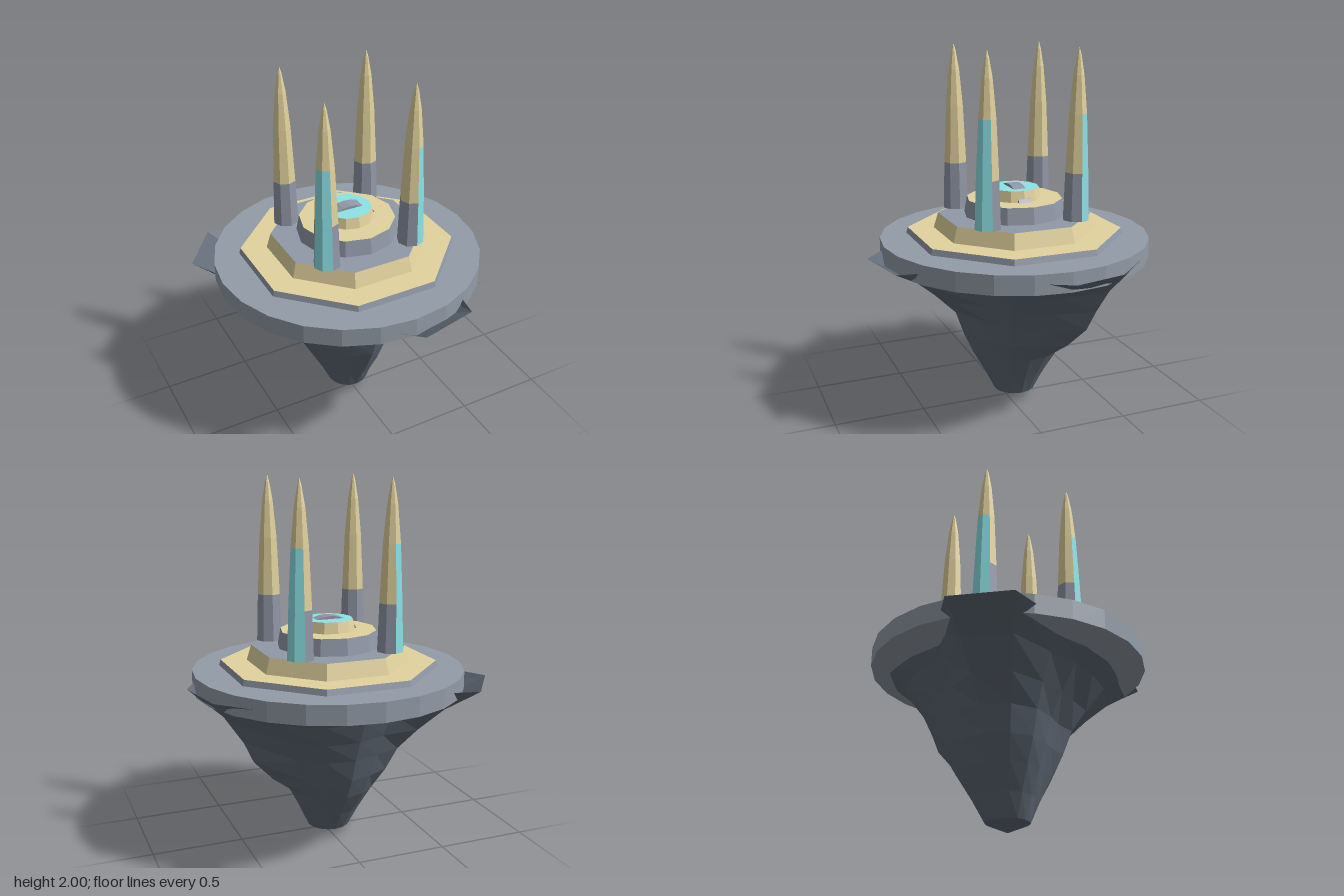
import * as THREE from 'three';

const paint = (name, color) => Object.assign(
  new THREE.MeshStandardMaterial({ color, flatShading: true }), { name });

export function createModel() {
  const model = new THREE.Group();
  model.name = 'floatingPlatform';
  const rock = paint('dark rock', 0x5f6975);
  rock.side = THREE.DoubleSide;
  const stone = paint('deck grey', 0x939ca7);
  const slate = paint('slate grey', 0x9198a7);
  const sand = paint('sand', 0xe3d39e);
  const cyan = paint('cyan glow', 0x8de4e8);
  const CZ = -0.05; // centre line of the platform

  const add = (name, geometry, material, parent = model) => {
    const mesh = new THREE.Mesh(geometry, material);
    mesh.name = name;
    parent.add(mesh);
    return mesh;
  };

  // Rocky underside: an open shell of 16 columns flaring out into three ledges
  const topR = [.79, .70, .54, .83, .835, .66, .62, .6, .62, .865, .855, .55, .6, .7, .735, .79];
  const midR = [.43, .37, .32, .31, .35, .34, .28, .30, .35, .39, .41, .37, .39, .40, .39, .54];
  const lowR = [.24, .23, .21, .23, .25, .23, .20, .22, .24, .26, .26, .27, .28, .27, .25, .25];
  // height, then blend from foot to low, low to mid, mid to top radius
  const rings = [[.05, 0, 0, 0], [.17, .45, 0, 0], [.3, 1, 0, 0], [.42, 1, .55, 0],
    [.55, 1, 1, 0], [.67, 1, 1, .25], [.8, 1, 1, .57], [.92, 1, 1, 1]];
  const profile = [new THREE.Vector2(0, 0), ...rings.map(([y]) => new THREE.Vector2(1, y))];
  const rockGeo = new THREE.LatheGeometry(profile, 16);
  const pos = rockGeo.attributes.position;
  const { lerp } = THREE.MathUtils;
  for (let k = 0; k < pos.count; k++) {
    const ring = rings[k % profile.length - 1];
    if (!ring) continue;
    const c = (20 - Math.floor(k / profile.length)) % 16;
    const r = lerp(lerp(lerp(.118, lowR[c], ring[1]), midR[c], ring[2]), topR[c], ring[3]);
    pos.setX(k, pos.getX(k) * r);
    pos.setZ(k, pos.getZ(k) * r);
  }
  add('rockUnderside', rockGeo, rock).position.z = CZ;

  // Stacked tiers, each with its own side and top colour
  const tier = (name, y0, y1, r0, r1, sides, turn, side, top) => {
    const g = new THREE.CylinderGeometry(r1, r0, y1 - y0, sides);
    g.rotateY(turn);
    add(name, g, [side, top, side]).position.set(0, (y0 + y1) / 2, CZ);
  };
  const oct = Math.PI / 8, apothem = Math.cos(oct);
  tier('mainDeck', .868, .973, .742, .742, 24, 0, stone, stone);
  tier('lowerStep', .973, 1.005, .555 / apothem, .547 / apothem, 8, oct, slate, sand);
  tier('middleStep', 1.005, 1.09, .413 / apothem, .39 / apothem, 8, oct, sand, slate);
  tier('upperStep', 1.09, 1.18, .28, .264, 12, 0, slate, sand);
  tier('hub', 1.18, 1.24, .147, .135, 12, 0, sand, cyan);

  // Upright wheel mostly sunk into the hub
  const wheel = new THREE.CylinderGeometry(.2, .2, .07, 32);
  wheel.rotateX(Math.PI / 2);
  add('hubWheel', wheel, slate).position.set(0, 1.056, CZ);

  // Spires: eight-sided, with a glowing outward quarter
  const outline = [[.073, 1.09], [.064, 1.35], [.049, 1.66], [.03, 1.86], [.012, 1.96], [0, 2]];
  const shell = (from, to, start, segments) => new THREE.LatheGeometry(
    outline.slice(from, to + 1).map(p => new THREE.Vector2(...p)),
    segments, start, segments * Math.PI / 4);
  for (const sx of [1, -1]) for (const sz of [1, -1]) {
    const spire = new THREE.Group();
    spire.name = (sz > 0 ? 'front' : 'back') + (sx > 0 ? 'Left' : 'Right') + 'Spire';
    spire.position.set(sx * .253, 0, CZ + sz * .253);
    // first angle of the quarter facing away from the centre
    const out = sz > 0 ? (sx > 0 ? 0 : -Math.PI / 2) : (sx > 0 ? Math.PI / 2 : Math.PI);
    const rest = out + Math.PI / 2;
    add('spireGlow', shell(0, 2, out, 2), cyan, spire);
    add('spireBase', shell(0, 1, rest, 6), slate, spire);
    add('spireShaft', shell(1, 2, rest, 6), sand, spire);
    add('spireTip', shell(2, 5, 0, 8), sand, spire);
    model.add(spire);
  }
  return model;
}
